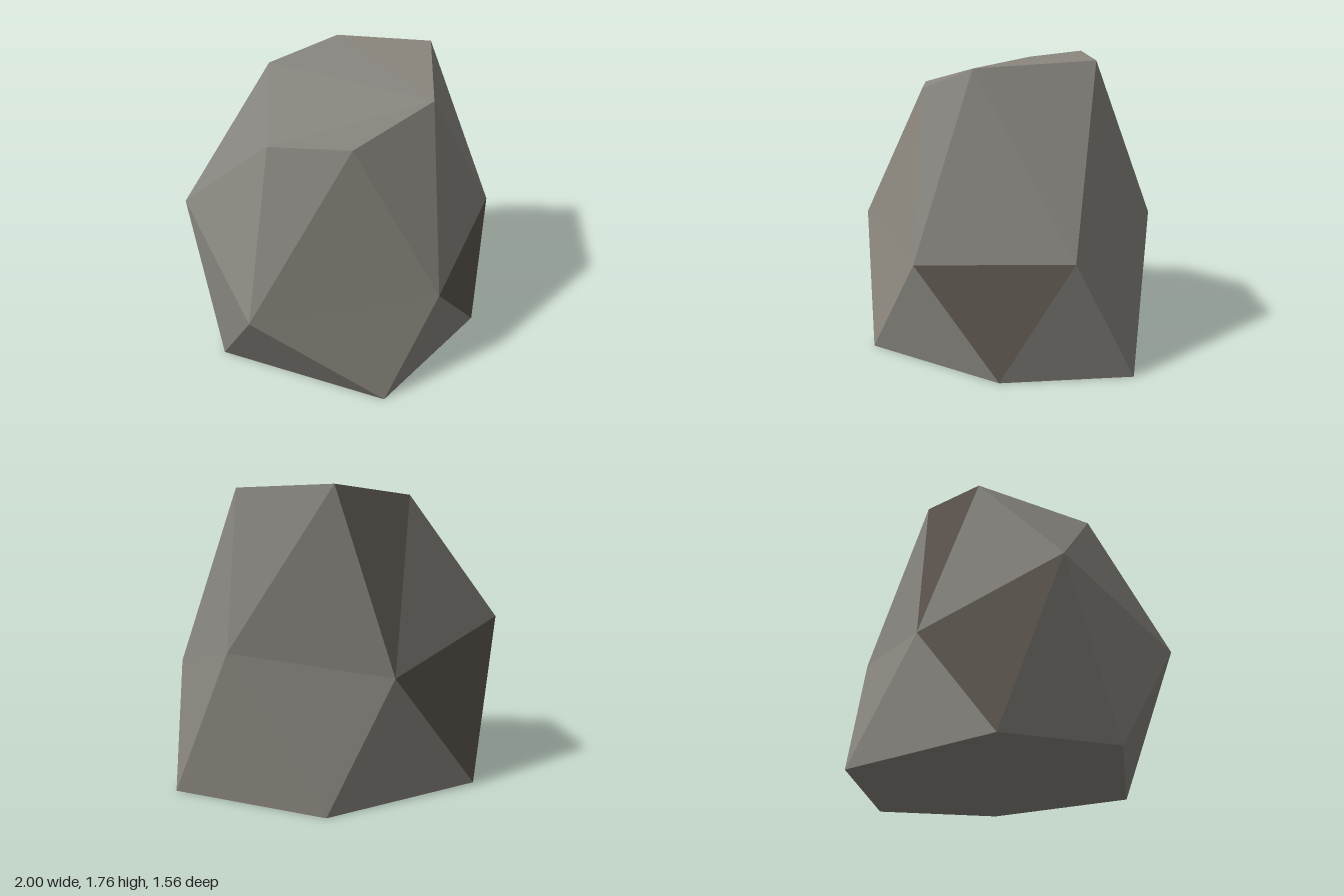
import * as THREE from 'three';

const material = (name, color) => {
  const m = new THREE.MeshStandardMaterial({ color });
  m.name = name;
  return m;
};

// Three staggered six-point rings, running left, front, right, back
const base = [[-0.37, 0, 0.78], [0.53, 0, 0.58], [1, 0, -0.02], [0.41, 0, -0.78], [-0.62, 0, -0.7], [-0.95, 0, -0.13]];
const middle = [[-1, 0.66, 0.36], [0.03, 0.61, 0.77], [0.84, 0.7, 0.31], [0.8, 0.86, -0.37], [-0.05, 0.7, -0.72], [-0.91, 0.96, -0.5]];
const upper = [[-0.66, 1.55, 0.1], [-0.32, 1.55, 0.4], [0.19, 1.7, 0.45], [0.62, 1.74, -0.08], [0.19, 1.76, -0.45], [-0.28, 1.7, -0.48]];

export function createModel() {
  const group = new THREE.Group();
  group.name = 'rock';

  const faces = { stoneFacets: [], warmFacets: [], earthFacets: [] };
  const add = (a, b, c, set = 'stoneFacets') => faces[set].push(...a, ...b, ...c);

  // Side bands of alternating triangles
  for (let i = 0; i < 6; i++) {
    const j = (i + 1) % 6;
    const h = (i + 5) % 6;
    add(base[h], base[i], middle[i], i === 3 ? 'warmFacets' : undefined);
    add(middle[j], middle[i], base[i], i === 1 || i === 4 ? 'earthFacets' : i === 0 ? 'warmFacets' : undefined);
    add(middle[i], middle[j], upper[j], i === 0 ? 'warmFacets' : undefined);
    add(upper[j], upper[i], middle[i], i === 4 ? 'earthFacets' : undefined);
  }

  // Crown
  add(upper[0], upper[1], upper[2]);
  add(upper[0], upper[2], upper[5]);
  add(upper[5], upper[2], upper[4]);
  add(upper[4], upper[2], upper[3], 'warmFacets');

  // Flat underside
  for (let i = 1; i < 5; i++) add(base[0], base[i + 1], base[i]);

  const materials = {
    stoneFacets: material('grey stone', 0x86847d),
    warmFacets: material('warm stone', 0x8a857c),
    earthFacets: material('dark earth', 0x5c554e),
  };
  for (const [name, points] of Object.entries(faces)) {
    const geometry = new THREE.BufferGeometry();
    geometry.setAttribute('position', new THREE.Float32BufferAttribute(points, 3));
    geometry.computeVertexNormals(); // unshared corners give flat facets
    const mesh = new THREE.Mesh(geometry, materials[name]);
    mesh.name = name;
    group.add(mesh);
  }
  return group;
}
